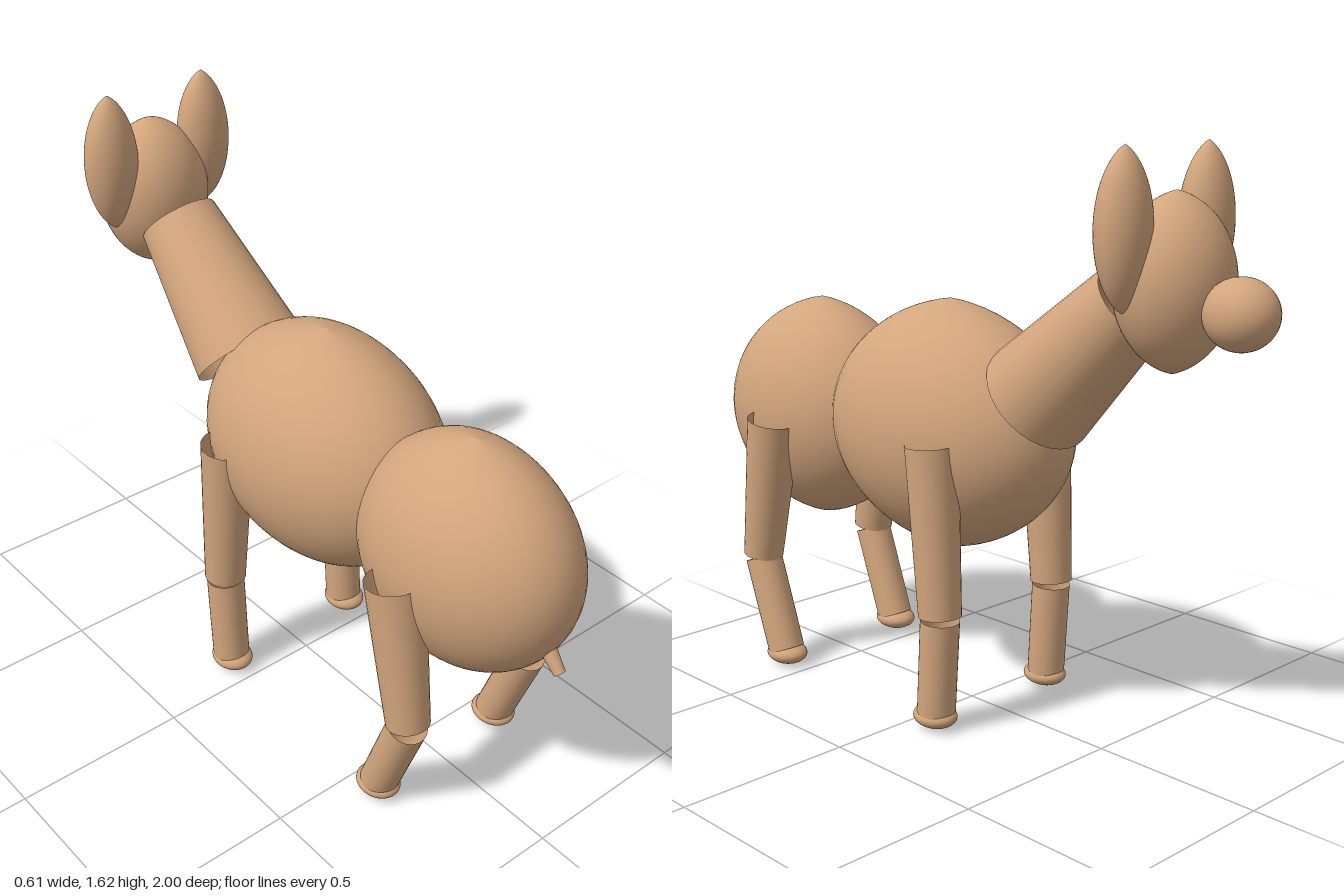
import * as THREE from 'three';

export function createModel() {
  const model = new THREE.Group();
  const tan = new THREE.MeshStandardMaterial({ color: 0xd2a57d, side: THREE.DoubleSide });
  tan.name = 'tan';

  function add(parent, name, geometry) {
    const mesh = new THREE.Mesh(geometry, tan);
    mesh.name = name;
    parent.add(mesh);
    return mesh;
  }

  // Unit ovoid, turned from a round arc that meets in a soft point at each pole
  function ovoidGeometry(arcDegrees) {
    const a = THREE.MathUtils.degToRad(arcDegrees);
    const points = [];
    for (let i = 0; i <= 32; i++) {
      const t = a * (i / 16 - 1);
      const r = (Math.cos(t) - Math.cos(a)) / (1 - Math.cos(a));
      points.push(new THREE.Vector2(Math.max(r, 0), Math.sin(t) / Math.sin(a)));
    }
    return new THREE.LatheGeometry(points, 48);
  }
  const roundOvoid = ovoidGeometry(79);
  const pointedOvoid = ovoidGeometry(72);

  function ovoid(parent, name, position, radii, geometry = roundOvoid) {
    const mesh = add(parent, name, geometry);
    mesh.position.set(...position);
    mesh.scale.set(...radii);
    return mesh;
  }

  // Open tapered tube between two points
  function limb(parent, name, from, to, rFrom, rTo) {
    const a = new THREE.Vector3(...from);
    const b = new THREE.Vector3(...to);
    const axis = b.clone().sub(a);
    const mesh = add(parent, name, new THREE.CylinderGeometry(rTo, rFrom, axis.length(), 32, 1, true));
    mesh.position.copy(a).add(b).multiplyScalar(0.5);
    mesh.quaternion.setFromUnitVectors(new THREE.Vector3(0, 1, 0), axis.normalize());
    return mesh;
  }

  // Body
  ovoid(model, 'chest', [0, 0.805, 0.085], [0.277, 0.36, 0.41]);
  ovoid(model, 'rump', [0, 0.77, 0.655], [0.242, 0.34, 0.34]);
  limb(model, 'tail', [0, 0.64, 0.94], [0, 0.583, 0.992], 0.023, 0.016);

  // Neck and head
  limb(model, 'neck', [0, 0.934, -0.256], [0, 1.232, -0.584], 0.165, 0.115);
  ovoid(model, 'head', [0, 1.285, -0.703], [0.163, 0.225, 0.147]);
  const muzzle = ovoid(model, 'muzzle', [0, 1.23, -0.903], [0.088, 0.09, 0.097],
    new THREE.SphereGeometry(1, 32, 24));
  muzzle.rotation.x = 0.1;

  for (const side of [-1, 1]) {
    const label = side > 0 ? 'left' : 'right';
    ovoid(model, label + 'Ear', [side * 0.159, 1.422, -0.672], [0.08, 0.2, 0.066], pointedOvoid);

    // Legs: [name, hip, knee, ankle, hoof z, top radius], points as [y, z]
    const legs = [
      ['FrontLeg', [0.808, -0.073], [0.332, -0.103], [0.038, -0.086], -0.082, 0.074],
      ['HindLeg', [0.763, 0.62], [0.33, 0.692], [0.045, 0.59], 0.587, 0.08],
    ];
    for (const [name, hip, knee, ankle, hoofZ, topRadius] of legs) {
      const leg = new THREE.Group();
      leg.name = label + name;
      model.add(leg);
      const x = side * 0.2225;
      limb(leg, 'upperLeg', [x, ...knee], [x, ...hip], 0.06, topRadius);
      limb(leg, 'lowerLeg', [x, ...ankle], [x, knee[0] - 0.012, knee[1]], 0.054, 0.055);
      ovoid(leg, 'hoof', [x, 0.035, hoofZ], [0.057, 0.035, 0.067]);
    }
  }
  return model;
}
